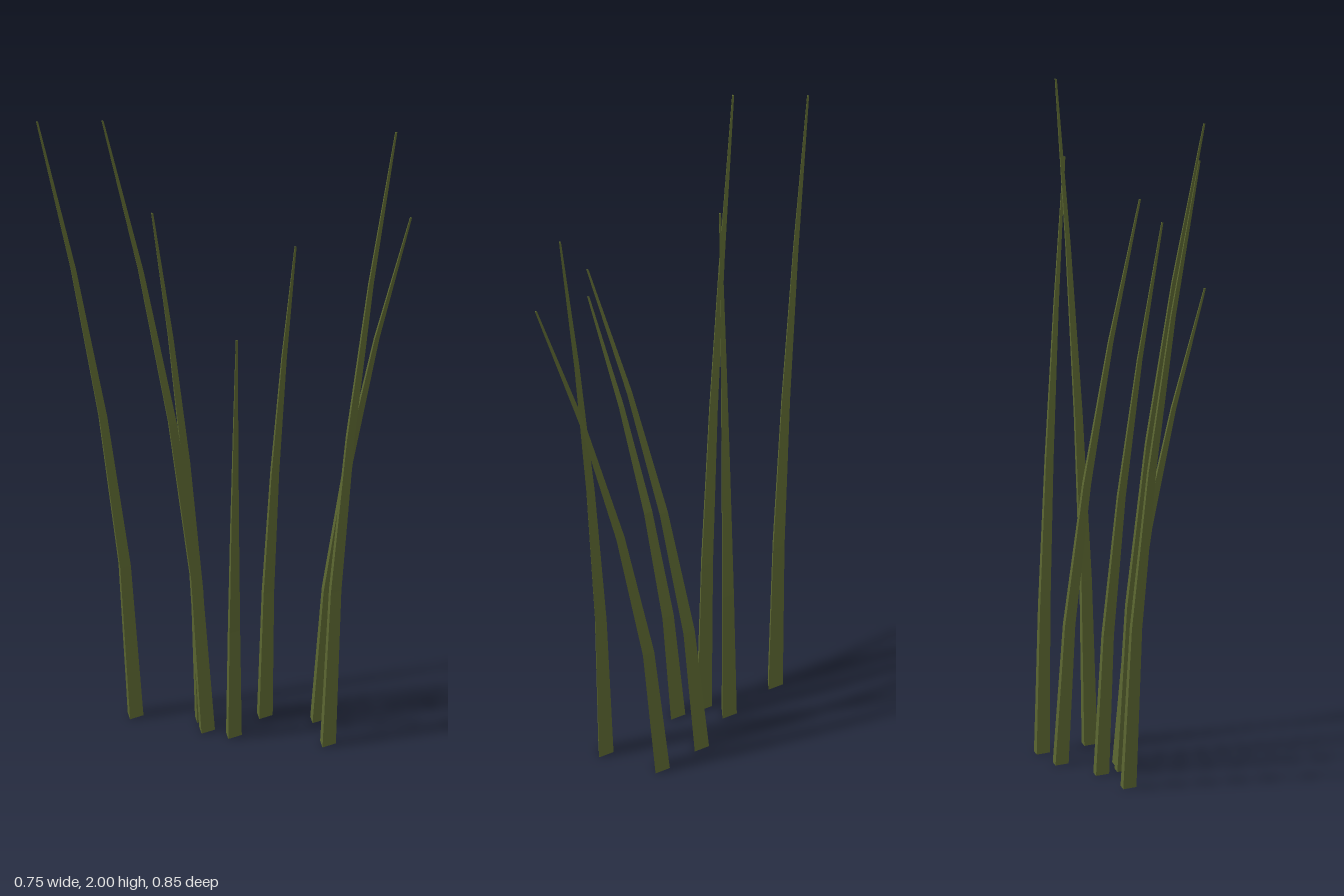
import * as THREE from 'three';

const BASE_RADIUS = 0.029;
const TIP_RADIUS = 0.004;

// Three-sided tapering blade that bends from its root towards its tip.
function bladeGeometry(height, leanX, leanZ) {
  const geometry = new THREE.CylinderGeometry(
    TIP_RADIUS, BASE_RADIUS, height, 3, 4, false, Math.PI
  ).toNonIndexed();
  geometry.translate(0, height / 2, 0);
  const p = geometry.attributes.position;
  for (let i = 0; i < p.count; i++) {
    const bend = Math.pow(Math.max(0, p.getY(i) / height), 1.6);
    p.setX(i, p.getX(i) + leanX * bend);
    p.setZ(i, p.getZ(i) + leanZ * bend);
  }
  geometry.computeVertexNormals(); // unshared corners give flat facets
  return geometry;
}

export function createModel() {
  const group = new THREE.Group();
  group.name = 'grassTuft';
  const olive = new THREE.MeshStandardMaterial({ color: 0x5a6530 });
  olive.name = 'oliveGreen';

  // root x, root z, tip x, tip z, height
  const blades = [
    [-0.10, -0.305, -0.373, -0.421, 1.94],
    [0.00, -0.090, -0.303, -0.196, 2.00],
    [0.04, -0.162, -0.153, -0.150, 1.68],
    [0.038, -0.010, -0.140, 0.240, 1.40],
    [0.202, -0.072, 0.070, 0.253, 1.65],
    [0.307, 0.049, 0.372, 0.420, 1.72],
    [0.218, 0.211, 0.372, 0.349, 1.97],
  ];
  blades.forEach(([x, z, tipX, tipZ, height], i) => {
    const blade = new THREE.Mesh(bladeGeometry(height, tipX - x, tipZ - z), olive);
    blade.name = `grassBlade${i + 1}`;
    blade.position.set(x, 0, z);
    group.add(blade);
  });
  return group;
}
